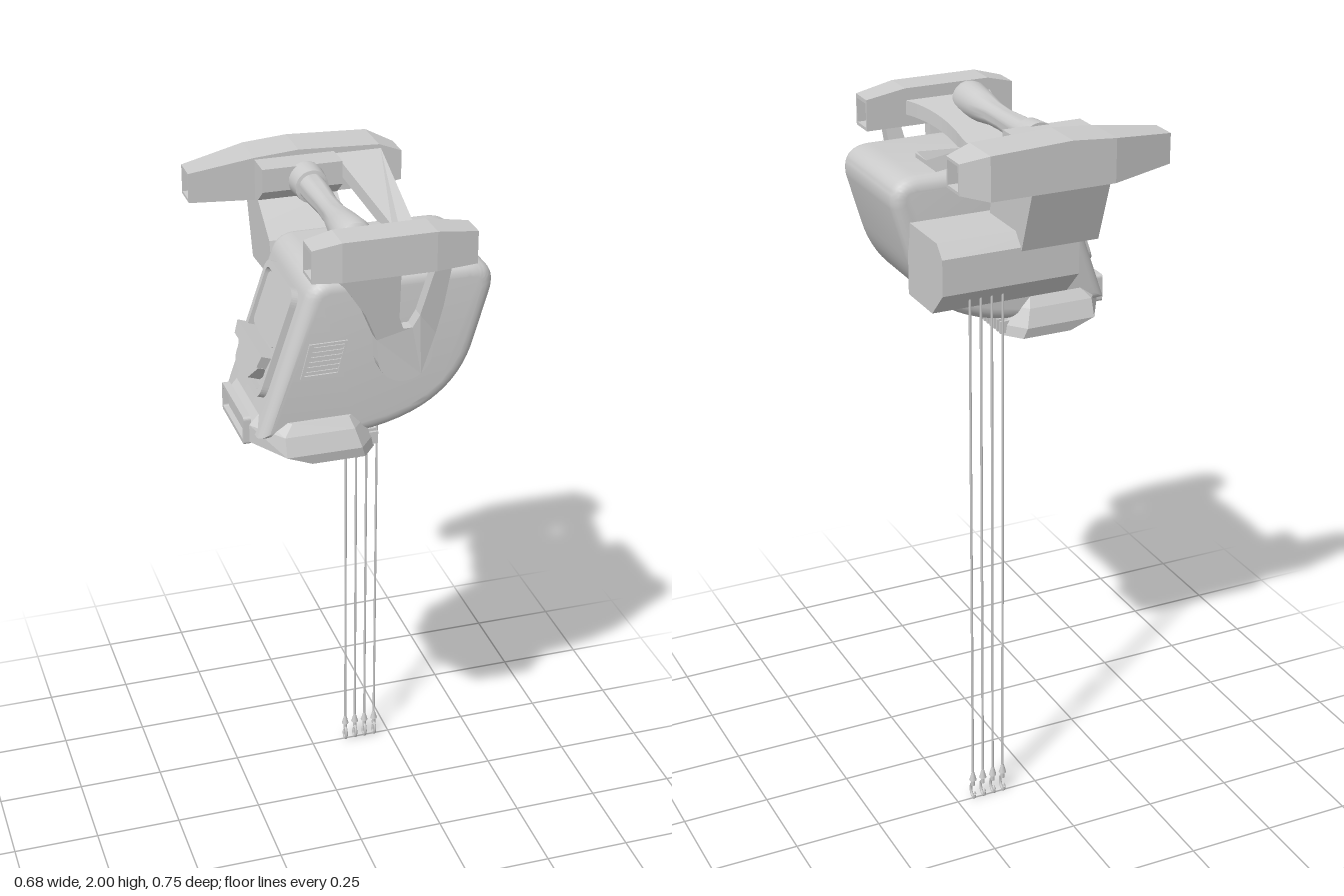
import * as THREE from 'three';
import { toCreasedNormals } from 'three/addons/utils/BufferGeometryUtils.js';

const grey = new THREE.MeshStandardMaterial({ color: 0xcccccc });

function add(parent, name, geo, x = 0, y = 0, z = 0) {
  const mesh = new THREE.Mesh(geo, grey);
  mesh.name = name;
  mesh.position.set(x, y, z);
  parent.add(mesh);
  return mesh;
}

const poly = pts => new THREE.Shape(pts.map(p => new THREE.Vector2(...p)));
const prism = (shape, depth) => new THREE.ExtrudeGeometry(shape, { depth, bevelEnabled: false, curveSegments: 10 });

// Move every vertex by a rule
function warp(geo, rule) {
  const p = geo.attributes.position, v = new THREE.Vector3();
  for (let i = 0; i < p.count; i++) {
    v.fromBufferAttribute(p, i);
    rule(v);
    p.setXYZ(i, v.x, v.y, v.z);
  }
  geo.computeVertexNormals();
  return geo;
}

// Prism from a (z, y) outline running along x from x0 to x1
function prismX(shape, x0, x1) {
  return prism(shape, x1 - x0).rotateY(-Math.PI / 2).translate(x1, 0, 0);
}

// Faceted skin through loops of points; either capped or joined end to start
function loft(loops, ring = false) {
  const tris = [], n = loops[0].length, m = loops.length;
  for (let i = 0; i < (ring ? m : m - 1); i++) {
    const a = loops[i], b = loops[(i + 1) % m];
    for (let j = 0; j < n; j++) {
      const k = (j + 1) % n;
      tris.push([a[j], a[k], b[k]], [a[j], b[k], b[j]]);
    }
  }
  if (!ring) for (let j = 1; j < n - 1; j++) {
    tris.push([loops[0][0], loops[0][j + 1], loops[0][j]]);
    tris.push([loops[m - 1][0], loops[m - 1][j], loops[m - 1][j + 1]]);
  }
  // Turn the faces outward
  const V = p => new THREE.Vector3(...p);
  const volume = tris.reduce((s, t) => s + V(t[0]).dot(V(t[1]).cross(V(t[2]))), 0);
  if (volume < 0) tris.forEach(t => t.reverse());
  const geo = new THREE.BufferGeometry();
  geo.setAttribute('position', new THREE.Float32BufferAttribute(tris.flat(2), 3));
  geo.computeVertexNormals();
  return geo;
}

// Hollow square beam from sections [x, zA, zB, yBottom, yTop]
function beam(sections, hole) {
  const loop = ([x, a, b, lo, hi]) => [[x, a, lo], [x, b, lo], [x, b, hi], [x, a, hi]].map(([X, z, y]) => [X, y, z]);
  const inner = [sections.at(-1), sections[0]].map(s => loop([s[0], ...hole]));
  return loft([...sections.map(loop), ...inner], true);
}

function roundedRect(w, h, r, s = new THREE.Shape()) {
  const x = w / 2, y = h / 2;
  s.moveTo(-x + r, -y).lineTo(x - r, -y).quadraticCurveTo(x, -y, x, -y + r);
  s.lineTo(x, y - r).quadraticCurveTo(x, y, x - r, y).lineTo(-x + r, y);
  return s.quadraticCurveTo(-x, y, -x, y - r).lineTo(-x, -y + r).quadraticCurveTo(-x, -y, -x + r, -y);
}

function frameShape(w, h, r, t) {
  const s = roundedRect(w, h, r);
  s.holes.push(roundedRect(w - 2 * t, h - 2 * t, r * 0.6, new THREE.Path()));
  return s;
}

export function createModel() {
  const model = new THREE.Group();
  model.name = 'hangingCarrier';

  // Rounded main body
  const s = new THREE.Shape();
  s.moveTo(-0.17, 1.8).quadraticCurveTo(-0.155, 1.853, -0.1, 1.853);
  s.lineTo(0.26, 1.853).quadraticCurveTo(0.35, 1.853, 0.336, 1.77);
  s.lineTo(0.295, 1.63).bezierCurveTo(0.265, 1.52, 0.18, 1.42, -0.03, 1.4);
  s.lineTo(-0.3, 1.42).closePath();
  const body = new THREE.ExtrudeGeometry(s, {
    depth: 0.3, bevelThickness: 0.035, bevelSize: 0.035, bevelOffset: -0.035, bevelSegments: 5, curveSegments: 14
  });
  add(model, 'body', toCreasedNormals(body, 0.6), 0, 0, -0.04);

  // Bumper under the sloping end
  const bumperLoop = (y, x0, x1, w) => [
    [x0, 0.1], [x0, -0.11], [x0, -0.11], [x0 + 0.07, -w], [x1 - 0.04, -w], [x1, -w + 0.05],
    [x1, w - 0.05], [x1 - 0.04, w], [x0 + 0.07, w], [x0, 0.11]
  ].map(([x, z]) => [x, y, z + 0.115]);
  add(model, 'bumper', loft([
    bumperLoop(1.36, -0.24, 0.015, 0.222), bumperLoop(1.39, -0.31, 0.005, 0.228),
    bumperLoop(1.44, -0.31, -0.01, 0.21), bumperLoop(1.468, -0.285, -0.02, 0.19)
  ]));
  add(model, 'bumperEndFrame', prism(frameShape(0.225, 0.08, 0.01, 0.012), 0.02).rotateY(-Math.PI / 2), -0.305, 1.422, 0.112);
  for (let i = 0; i < 18; i++)
    add(model, 'grilleFin', new THREE.BoxGeometry(0.03, 0.035, 0.007), 0.01, 1.385, -0.06 + i * 0.0205);

  // Slatted vents on both flanks
  for (const z of [0.294, -0.074]) {
    const vent = new THREE.Group();
    vent.name = 'vent';
    const rim = poly([[-0.19, 1.59], [-0.085, 1.59], [-0.062, 1.685], [-0.165, 1.685]]);
    rim.holes.push(new THREE.Path([[-0.18, 1.597], [-0.153, 1.678], [-0.07, 1.678], [-0.09, 1.597]].map(p => new THREE.Vector2(...p))));
    add(vent, 'ventRim', prism(rim, 0.012), 0, 0, z - 0.006);
    for (let i = 0; i < 6; i++)
      add(vent, 'ventSlat', new THREE.BoxGeometry(0.09, 0.007, 0.009), -0.133 + i * 0.0045, 1.604 + i * 0.0135, z);
    model.add(vent);
  }

  // Hatch with latch on the sloping end
  const hatch = new THREE.Group();
  hatch.name = 'hatch';
  hatch.position.set(-0.227, 1.635, 0.11);
  hatch.rotation.z = -0.33;
  const outward = (shape, depth) => prism(shape, depth).rotateY(-Math.PI / 2);
  add(hatch, 'hatchFrame', outward(frameShape(0.25, 0.31, 0.04, 0.018), 0.022), 0.004, 0.02);
  add(hatch, 'hatchPanel', outward(roundedRect(0.19, 0.15, 0.02), 0.016), 0.004, 0.075);
  add(hatch, 'latchBar', outward(poly([[-0.11, -0.015], [0.11, -0.015], [0.12, 0.02], [-0.12, 0.02]]), 0.045), 0, -0.035);
  add(hatch, 'latchPlate', outward(poly([[-0.05, -0.1], [0.05, -0.1], [0.1, -0.05], [-0.1, -0.05]]), 0.035), 0, -0.005);
  model.add(hatch);

  // Hollow upper beams
  add(model, 'frontBeam', beam([
    [-0.175, 0.28, 0.355, 1.88, 1.968], [-0.1, 0.28, 0.372, 1.88, 1.987],
    [0.15, 0.28, 0.372, 1.88, 1.987], [0.265, 0.28, 0.355, 1.88, 1.968]
  ], [0.286, 0.349, 1.889, 1.957]));
  add(model, 'backBeam', beam([
    [-0.34, -0.25, -0.326, 1.882, 1.965], [-0.155, -0.25, -0.375, 1.87, 1.99], [-0.03, -0.25, -0.375, 1.87, 2],
    [0.2, -0.25, -0.375, 1.87, 1.99], [0.265, -0.25, -0.328, 1.882, 1.965]
  ], [-0.256, -0.32, 1.89, 1.957]));

  // Forked front bracket, leaning outward to meet the beam
  const fork = new THREE.Shape();
  fork.moveTo(-0.13, 1.9).lineTo(-0.09, 1.86).lineTo(-0.03, 1.77).lineTo(0.005, 1.69).lineTo(0.008, 1.63);
  fork.absarc(0.083, 1.638, 0.075, Math.PI, Math.PI * 2, false);
  fork.lineTo(0.165, 1.69).lineTo(0.18, 1.77).lineTo(0.195, 1.9).closePath();
  fork.holes.push(new THREE.Path([[0.058, 1.885], [0.062, 1.75], [0.075, 1.715], [0.1, 1.715], [0.118, 1.75], [0.15, 1.885]]
    .map(p => new THREE.Vector2(...p))));
  const lean = v => { v.z += Math.max(0, v.y - 1.69) * 0.16; };
  add(model, 'frontBracket', warp(prism(fork, 0.037), lean), 0, 0, 0.295);

  // Sloping arms from the beams down to the top of the body
  const frontArm = new THREE.Shape();
  frontArm.moveTo(-0.105, 0.285).lineTo(-0.105, 0.09).quadraticCurveTo(-0.1, 0.06, -0.07, 0.06);
  frontArm.lineTo(0.03, 0.06).quadraticCurveTo(0.055, 0.065, 0.06, 0.11).quadraticCurveTo(0.07, 0.23, 0.155, 0.285);
  add(model, 'frontArm', warp(prism(frontArm, 0.04).rotateX(Math.PI / 2), v => { v.y += 1.865 + (v.z - 0.06) * 0.4; }));
  const backArm = poly([[0.07, -0.255], [0.205, -0.255], [0.203, 0.02], [0.203, 0.09], [0.195, 0.102],
    [0.158, 0.102], [0.15, 0.09], [0.148, 0.02]]);
  add(model, 'backArm', warp(prism(backArm, 0.04).rotateX(Math.PI / 2), v => {
    v.y += 1.865 + Math.max(0, 0.02 - v.z) * 0.42;
  }));

  // Turned grip joining the two beams
  const grip = [[0, -0.18], [0.05, -0.18], [0.05, -0.17], [0.046, -0.117], [0.037, -0.115], [0.036, -0.06], [0.031, 0.02],
    [0.033, 0.09], [0.044, 0.17], [0.052, 0.24], [0.048, 0.265], [0.025, 0.282], [0, 0.285]];
  const gripGeo = new THREE.LatheGeometry(grip.map(p => new THREE.Vector2(...p)), 24).rotateX(Math.PI / 2);
  add(model, 'grip', toCreasedNormals(gripGeo, 0.7), -0.032, 1.943, 0);

  // Back support and cable housing
  const support = poly([[-0.35, 1.875], [-0.285, 1.69], [-0.09, 1.7], [-0.095, 1.75], [-0.11, 1.805], [-0.16, 1.84],
    [-0.22, 1.88], [-0.17, 1.92], [-0.17, 1.985], [-0.26, 1.985], [-0.26, 1.875]]);
  add(model, 'backSupport', prismX(support, -0.155, 0.07));
  const housing = poly([[-0.06, 1.53], [-0.215, 1.53], [-0.283, 1.6], [-0.283, 1.7], [-0.25, 1.735], [-0.06, 1.735]]);
  add(model, 'cableHousing', prismX(housing, -0.1, 0.294));

  // Four hanging cables with hooks
  for (let i = 0; i < 4; i++) {
    const cable = new THREE.Group();
    cable.name = 'hookedCable';
    cable.position.set(0.106 + i * 0.0317, 0, -0.248);
    add(cable, 'cable', new THREE.CylinderGeometry(0.0035, 0.0035, 1.54, 6), 0, 0.84, 0);
    add(cable, 'socket', new THREE.CylinderGeometry(0.004, 0.011, 0.026, 10), 0, 0.077, 0);
    add(cable, 'swivel', new THREE.CylinderGeometry(0.006, 0.006, 0.02, 8), 0, 0.055, 0);
    const path = new THREE.CatmullRomCurve3([[0.05, 0], [0.042, 0.011], [0.022, 0.014], [0.007, 0.004], [0.008, -0.009], [0.022, -0.013]]
      .map(([y, z]) => new THREE.Vector3(0, y, z)));
    add(cable, 'hook', new THREE.TubeGeometry(path, 18, 0.0045, 6));
    add(cable, 'hookTip', new THREE.ConeGeometry(0.0045, 0.012, 6), 0, 0.028, -0.013);
    model.add(cable);
  }
  return model;
}
